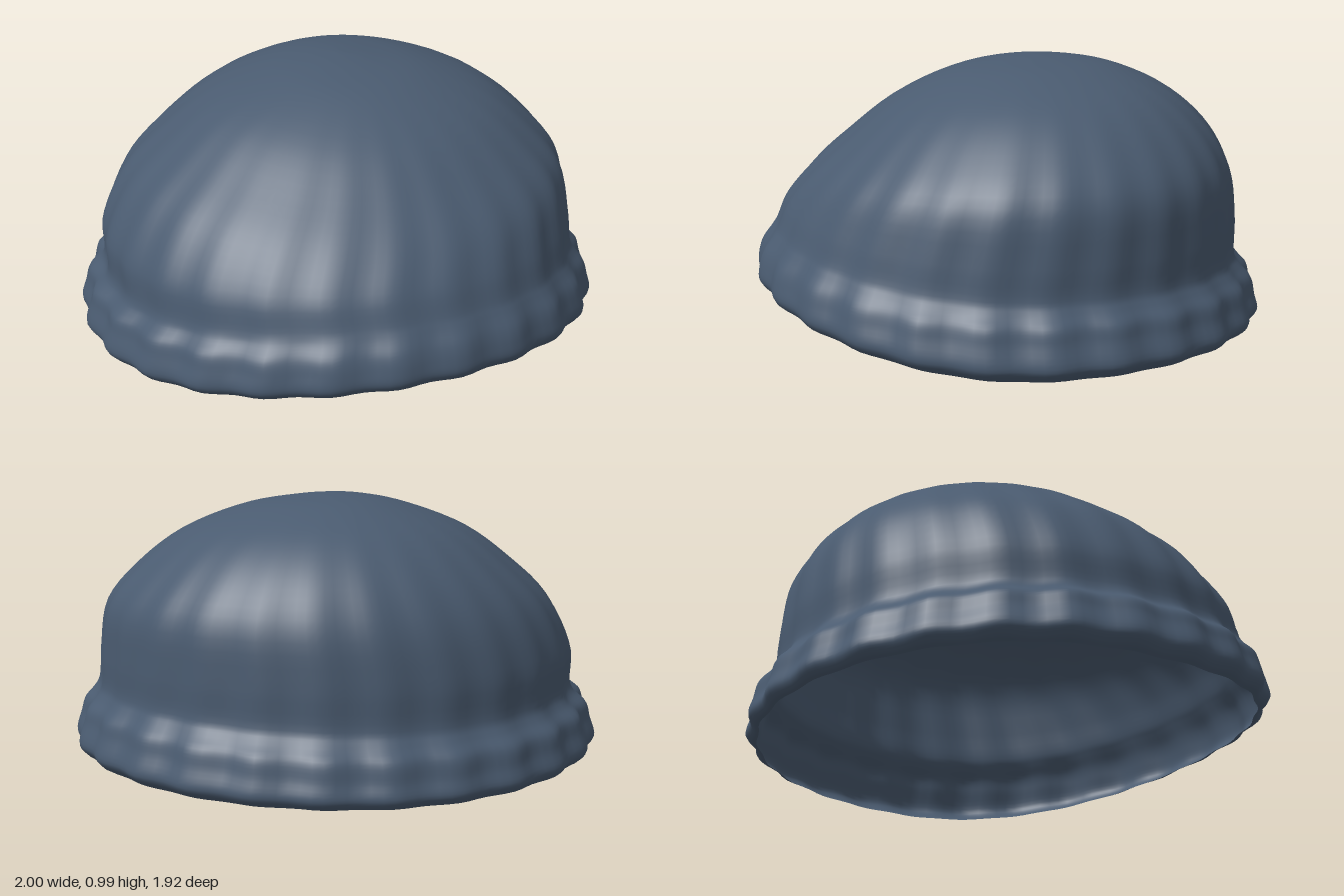
import * as THREE from 'three';

// Cross-sections from rim to crown: [xRight, xLeft, zFront, zBack, yFront, ySide, yBack]
const LEVELS = [
  [-0.95, 0.95, 0.92, -0.92, 0.15, 0.03, 0.01],
  [-0.975, 0.975, 0.945, -0.94, 0.16, 0.045, 0.015],
  [-1, 1, 0.965, -0.962, 0.19, 0.08, 0.045],
  [-0.98, 0.98, 0.962, -0.95, 0.24, 0.16, 0.10],
  [-0.965, 0.965, 0.945, -0.935, 0.29, 0.21, 0.165],
  [-0.92, 0.93, 0.91, -0.895, 0.34, 0.25, 0.21],
  [-0.905, 0.91, 0.89, -0.87, 0.37, 0.285, 0.25],
  [-0.9, 0.905, 0.85, -0.865, 0.46, 0.41, 0.4],
  [-0.8, 0.88, 0.76, -0.83, 0.575, 0.6, 0.59],
  [-0.64, 0.765, 0.635, -0.745, 0.69, 0.745, 0.74],
  [-0.46, 0.6, 0.46, -0.6, 0.83, 0.87, 0.87],
  [-0.22, 0.36, 0.24, -0.4, 0.94, 0.96, 0.96],
  [-0.07, 0.17, 0.05, -0.24, 0.985, 0.99, 0.99],
];
const RIB = [0.005, 0.008, 0.01, 0.012, 0.012, 0.008, 0.006, 0.007, 0.006, 0.004, 0.002, 0, 0];
const RIBS = 26, AROUND = 156, UP = 60;

// One meridian of the cap, from the rim to the crown
function meridian(theta) {
  const c = Math.cos(theta), s = Math.sin(theta);
  const points = LEVELS.map(([xr, xl, zf, zb, yf, ys, yb], i) => {
    const k = 1 - RIB[i] * (1 - Math.cos(RIBS * theta));
    const x = (xl + xr) / 2 + c * k * (xl - xr) / 2;
    const z = (zf + zb) / 2 + s * k * (zf - zb) / 2;
    const y = ys + ((s > 0 ? yf : yb) - ys) * s * s;
    return new THREE.Vector3(x, y, z);
  });
  points.push(new THREE.Vector3(0.05, 1, -0.1));
  return new THREE.CatmullRomCurve3(points, false, 'centripetal');
}

// Skin between two steps of the meridians
function skin(curves, from, to) {
  const positions = [], indices = [], rows = to - from;
  for (const curve of curves) {
    for (let j = from; j <= to; j++) {
      positions.push(...curve.getPoint(j / UP).toArray());
    }
  }
  for (let i = 0; i < AROUND; i++) {
    const n = (i + 1) % AROUND;
    for (let j = 0; j < rows; j++) {
      const a = i * (rows + 1) + j, b = n * (rows + 1) + j;
      indices.push(a, a + 1, b, b, a + 1, b + 1);
    }
  }
  const geometry = new THREE.BufferGeometry();
  geometry.setAttribute('position', new THREE.Float32BufferAttribute(positions, 3));
  geometry.setIndex(indices);
  geometry.computeVertexNormals();
  // The crown vertices coincide, so give them one upward normal
  if (to === UP) {
    for (let i = 0; i < AROUND; i++) {
      geometry.attributes.normal.setXYZ(i * (rows + 1) + rows, 0, 1, 0);
    }
  }
  return geometry;
}

export function createModel() {
  const group = new THREE.Group();
  group.name = 'knitCap';
  const wool = new THREE.MeshStandardMaterial({ color: 0x4a5b70, side: THREE.DoubleSide });
  wool.name = 'slate blue wool';

  const curves = Array.from({ length: AROUND }, (_, i) => meridian((i / AROUND) * Math.PI * 2));

  // Open, ribbed cap with its rolled band, in one continuous skin
  const cap = new THREE.Mesh(skin(curves, 0, UP), wool);
  cap.name = 'capWithRibbedBand';
  group.add(cap);
  return group;
}
